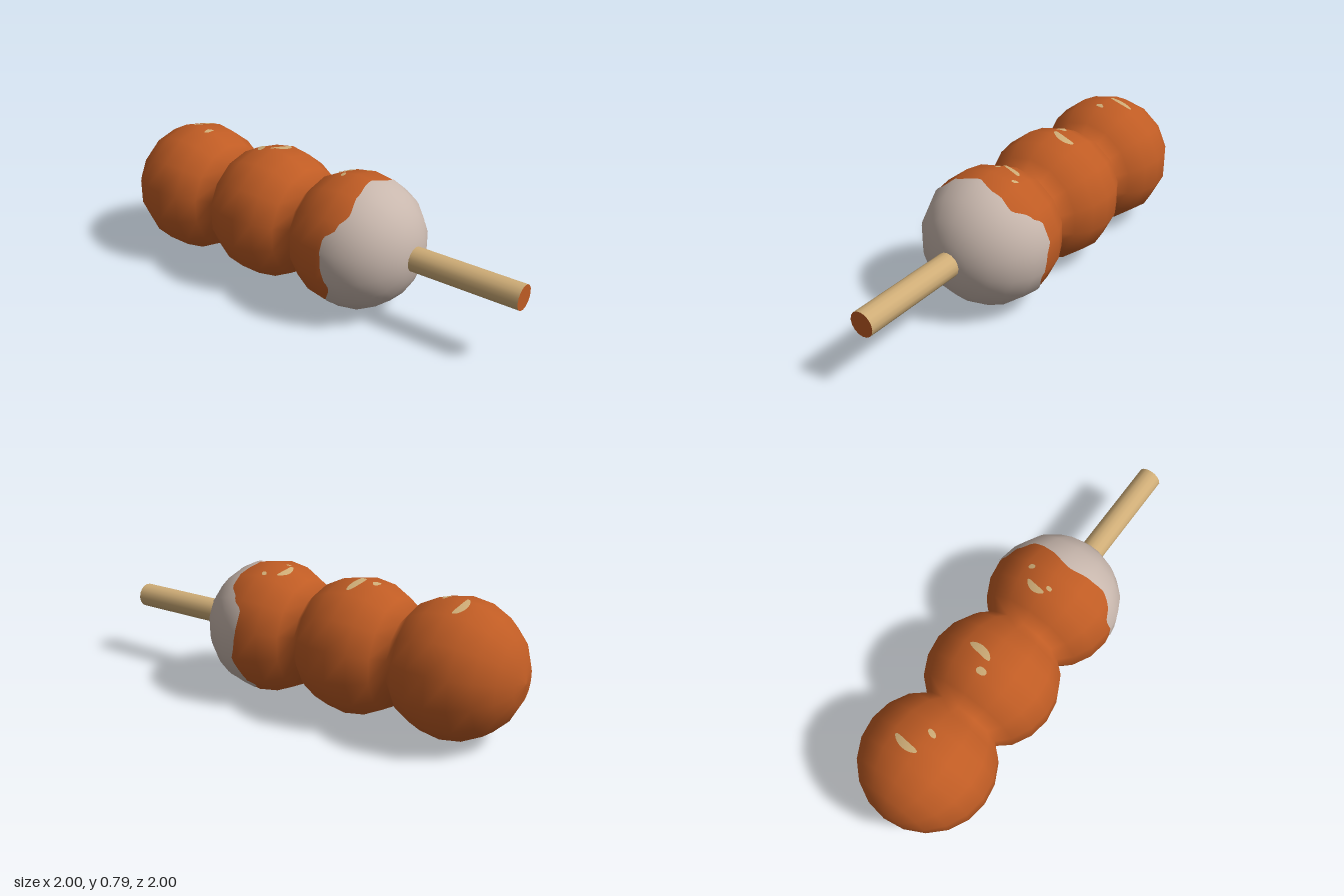
import * as THREE from 'three';

const R = 0.393, SIDES = 14, NECK = 0.245, HALF = 0.297;
const CENTRES = [-0.881, -0.288, 0.304]; // ball centres along the skewer
const STEP = Math.PI / 10;
const rad = THREE.MathUtils.degToRad;

const orange = new THREE.MeshStandardMaterial({ color: 0xc05c24 });
orange.name = 'orange glaze';
const cream = new THREE.MeshStandardMaterial({ color: 0xc8b7ad });
cream.name = 'pale cream';
const tan = new THREE.MeshStandardMaterial({ color: 0xcfad77 });
tan.name = 'light wood';

// Point (axial, radial) on the faceted ball profile, theta measured from the axis
function profile(theta) {
  const k = Math.floor(theta / STEP), t = theta / STEP - k;
  const at = (i) => [R * Math.cos(i * STEP), R * Math.sin(i * STEP)];
  const p = at(k), q = at(k + 1);
  return [p[0] + (q[0] - p[0]) * t, p[1] + (q[1] - p[1]) * t];
}

// Grid surface lying on a ball; fn gives a position relative to the ball centre
function grid(nu, nv, centre, fn) {
  const pos = [], nor = [], idx = [];
  for (let i = 0; i <= nu; i++) {
    for (let j = 0; j <= nv; j++) {
      const p = fn(i / nu, j / nv);
      const n = p.clone().normalize();
      pos.push(p.x, p.y + centre, p.z);
      nor.push(n.x, n.y, n.z);
      if (i < nu && j < nv) {
        const a = i * (nv + 1) + j, b = a + nv + 1;
        idx.push(a, b, b + 1, a, b + 1, a + 1);
      }
    }
  }
  const g = new THREE.BufferGeometry();
  g.setAttribute('position', new THREE.Float32BufferAttribute(pos, 3));
  g.setAttribute('normal', new THREE.Float32BufferAttribute(nor, 3));
  g.setIndex(idx);
  return g;
}

// Wavy rim of the pale face: [angle around the skewer, axial offset]
const RIM = [[0, 0.02], [14, 0], [29, 0], [38, 0.06], [52, 0.13], [73, 0.12], [95, 0.085],
  [114, 0.105], [132, 0.12], [146, 0.085], [157, 0.025], [180, 0.03], [200, 0.065],
  [225, 0.005], [240, -0.01], [257, 0.06], [290, 0.05], [312, -0.03], [344, 0.04], [360, 0.02]];

function rimAt(deg) {
  let k = 0;
  while (k < RIM.length - 2 && RIM[k + 1][0] < deg) k++;
  const [a, va] = RIM[k], [b, vb] = RIM[k + 1];
  return THREE.MathUtils.smoothstep(deg, a, b) * (vb - va) + va;
}

function paleFace() {
  const facet = 360 / SIDES;
  return grid(SIDES * 8, 20, CENTRES[2], (u, v) => {
    const deg = u * 360;
    const [s, r0] = profile(Math.acos(rimAt(deg) / R) * (1 - v));
    // follow the flat sides of the lathe, which has a ridge straight up
    const d = ((deg - 90) % facet + facet) % facet - facet / 2;
    const r = r0 * Math.cos(rad(facet / 2)) / Math.cos(rad(d));
    return new THREE.Vector3(-r * Math.cos(rad(deg)), s, r * Math.sin(rad(deg)))
      .multiplyScalar(1.012);
  });
}

// Curved streak draped on the top of a ball
function streak(ball, x, y, length, width, tilt, bend) {
  const c = Math.cos(tilt), s = Math.sin(tilt);
  return grid(14, 4, CENTRES[ball], (u, v) => {
    const t = -Math.cos(u * Math.PI);
    const along = t * length / 2;
    const across = (v - 0.5) * width * Math.sqrt(Math.max(0, 1 - t * t)) + bend * (t * t - 0.4);
    const px = x + along * c - across * s, py = y + along * s + across * c;
    const r = profile(Math.acos(py / R))[1];
    return new THREE.Vector3(px, py, r - Math.abs(px) * Math.tan(Math.PI / SIDES) + 0.005);
  });
}

export function createModel() {
  const model = new THREE.Group();
  model.name = 'skewer';
  const add = (name, geometry, material) => {
    const m = new THREE.Mesh(geometry, material);
    m.name = name;
    model.add(m);
    return m;
  };

  // Three joined balls as one lathe
  const pts = [];
  CENTRES.forEach((c, b) => {
    const first = b === 0 ? 10 : 7, last = b === 2 ? 0 : 3;
    for (let k = first; k >= last; k--) {
      pts.push(new THREE.Vector2(Math.max(0, R * Math.sin(k * STEP)), c + R * Math.cos(k * STEP)));
    }
    if (b < 2) pts.push(new THREE.Vector2(NECK, c + HALF));
  });
  add('balls', new THREE.LatheGeometry(pts, SIDES), orange);

  // Pale face around the stick
  add('paleFace', paleFace(), cream);

  // Stick with a coloured end
  const stick = add('stick', new THREE.CylinderGeometry(0.072, 0.072, 0.786, 16),
    [tan, orange, orange]);
  stick.position.y = 0.943;

  // Glaze highlights: ball, x, y, length, width, tilt, bend
  [
    [0, -0.074, -0.046, 0.16, 0.042, -0.12, 0.012],
    [0, 0.007, 0.078, 0.06, 0.03, -0.35, 0],
    [1, -0.064, 0, 0.155, 0.048, -0.2, -0.012],
    [1, 0.007, -0.092, 0.062, 0.042, 0.1, 0],
    [2, -0.053, -0.117, 0.125, 0.038, -0.2, 0.012],
    [2, 0.021, -0.085, 0.034, 0.025, 0, 0],
    [2, -0.138, -0.025, 0.038, 0.028, 0.6, 0],
  ].forEach((h) => add('highlight', streak(...h), tan));

  // Lay the skewer along the diagonal, local z pointing up
  const h = Math.SQRT1_2;
  model.quaternion.setFromRotationMatrix(new THREE.Matrix4().makeBasis(
    new THREE.Vector3(-h, 0, h), new THREE.Vector3(h, 0, h), new THREE.Vector3(0, 1, 0)));
  model.position.y = 0.403;
  const root = new THREE.Group();
  root.name = 'model';
  root.add(model);
  return root;
}
